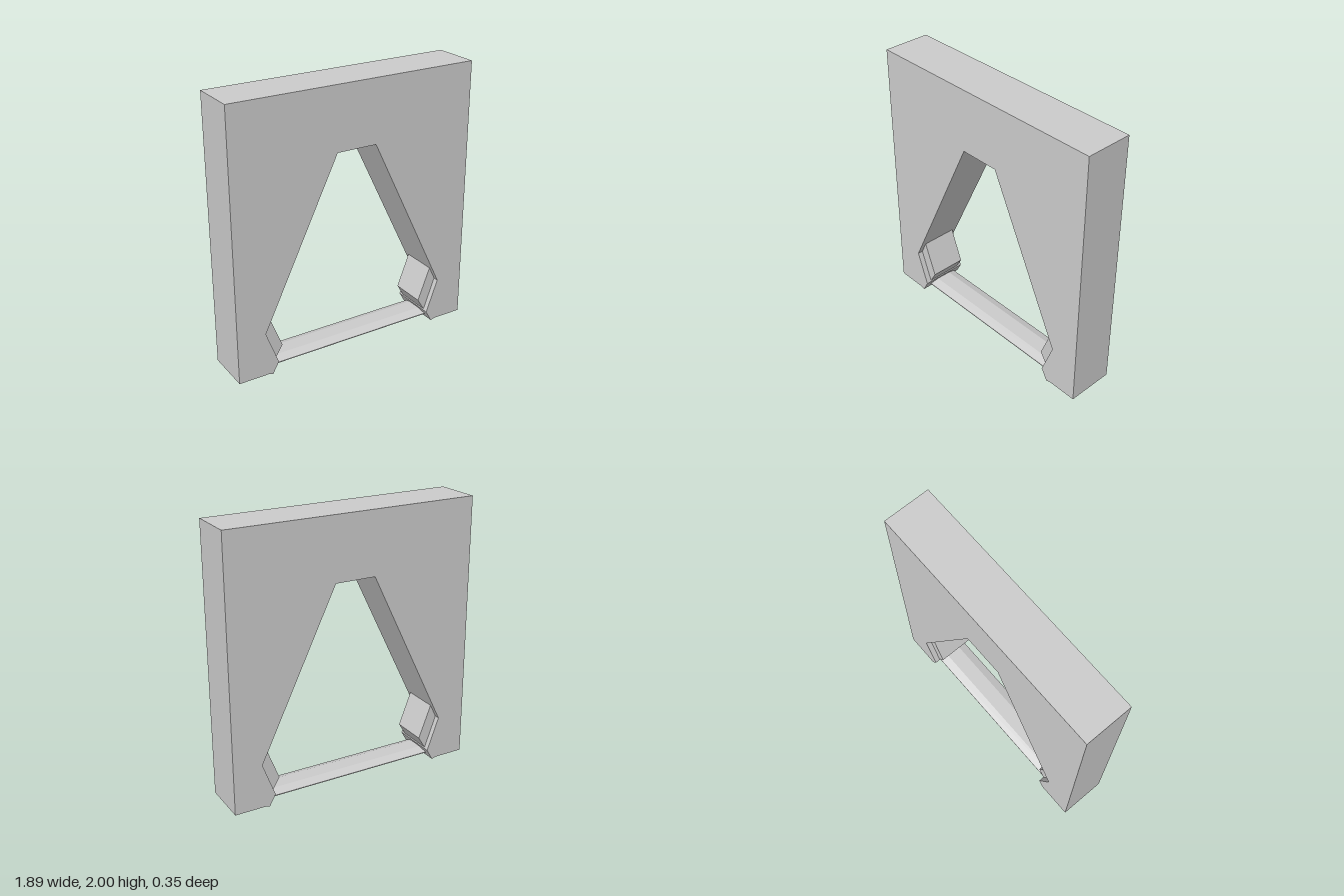
import * as THREE from 'three';

const D = 0.175; // half depth of the wall

function shapeOf(points) {
  return new THREE.Shape(points.map(([x, y]) => new THREE.Vector2(x, y)));
}

// Prism along z, centred on z = 0
function prism(points, depth) {
  const g = new THREE.ExtrudeGeometry(shapeOf(points), { depth, bevelEnabled: false });
  return g.translate(0, 0, -depth / 2);
}

// Walls swept through the depth along an open outline
function sweptWall(path, half) {
  const pos = [];
  for (let i = 0; i + 1 < path.length; i++) {
    const [ax, ay] = path[i], [bx, by] = path[i + 1];
    pos.push(ax, ay, half, ax, ay, -half, bx, by, -half);
    pos.push(ax, ay, half, bx, by, -half, bx, by, half);
  }
  const g = new THREE.BufferGeometry();
  g.setAttribute('position', new THREE.Float32BufferAttribute(pos, 3));
  g.computeVertexNormals();
  return g;
}

export function createModel() {
  const group = new THREE.Group();
  const mat = new THREE.MeshStandardMaterial({ color: 0xcccccc, flatShading: true, side: THREE.DoubleSide });
  const add = (name, geometry, parent = group) => {
    const mesh = new THREE.Mesh(geometry, mat);
    mesh.name = name;
    parent.add(mesh);
    return mesh;
  };
  const mirror = (pts) => pts.map(([x, y]) => [-x, y]).reverse();

  // Hollow wall, open underneath
  const outerRight = [[0.945, 0.01], [0.945, 2]];
  const innerRight = [[0.152, 1.535], [0.73, 0.335], [0.637, 0.085], [0.685, 0]];
  const outer = [...outerRight, ...mirror(outerRight)];
  const inner = [...mirror(innerRight), ...innerRight];
  const foot = [0.72, 0.01];
  const outline = [...outer, [-foot[0], foot[1]], ...inner, foot];
  const wall = new THREE.Group();
  wall.name = 'wall';
  group.add(wall);
  add('frontFace', new THREE.ShapeGeometry(shapeOf(outline)).translate(0, 0, D), wall);
  add('backFace', new THREE.ShapeGeometry(shapeOf(outline)).rotateY(Math.PI).translate(0, 0, -D), wall);
  add('outerSides', sweptWall(outer, D), wall);
  add('openingSides', sweptWall(inner, D), wall);

  // Angular blocks at the foot of the opening
  const block = [[0.683, 0.437], [0.585, 0.185], [0.655, 0.07], [0.72, 0.1], [0.77, 0.34]];
  add('leftBlock', prism([...block].reverse(), 0.27));
  add('rightBlock', prism(mirror([...block].reverse()), 0.27));

  // Threshold bar with sloped long edges, its ends reaching into the wall
  const bar = [[-0.12, 0.035], [0.12, 0.035], [0.12, 0.041], [0.057, 0.065], [-0.057, 0.065], [-0.12, 0.041]];
  add('threshold', prism(bar, 1.64).rotateY(Math.PI / 2));

  return group;
}
